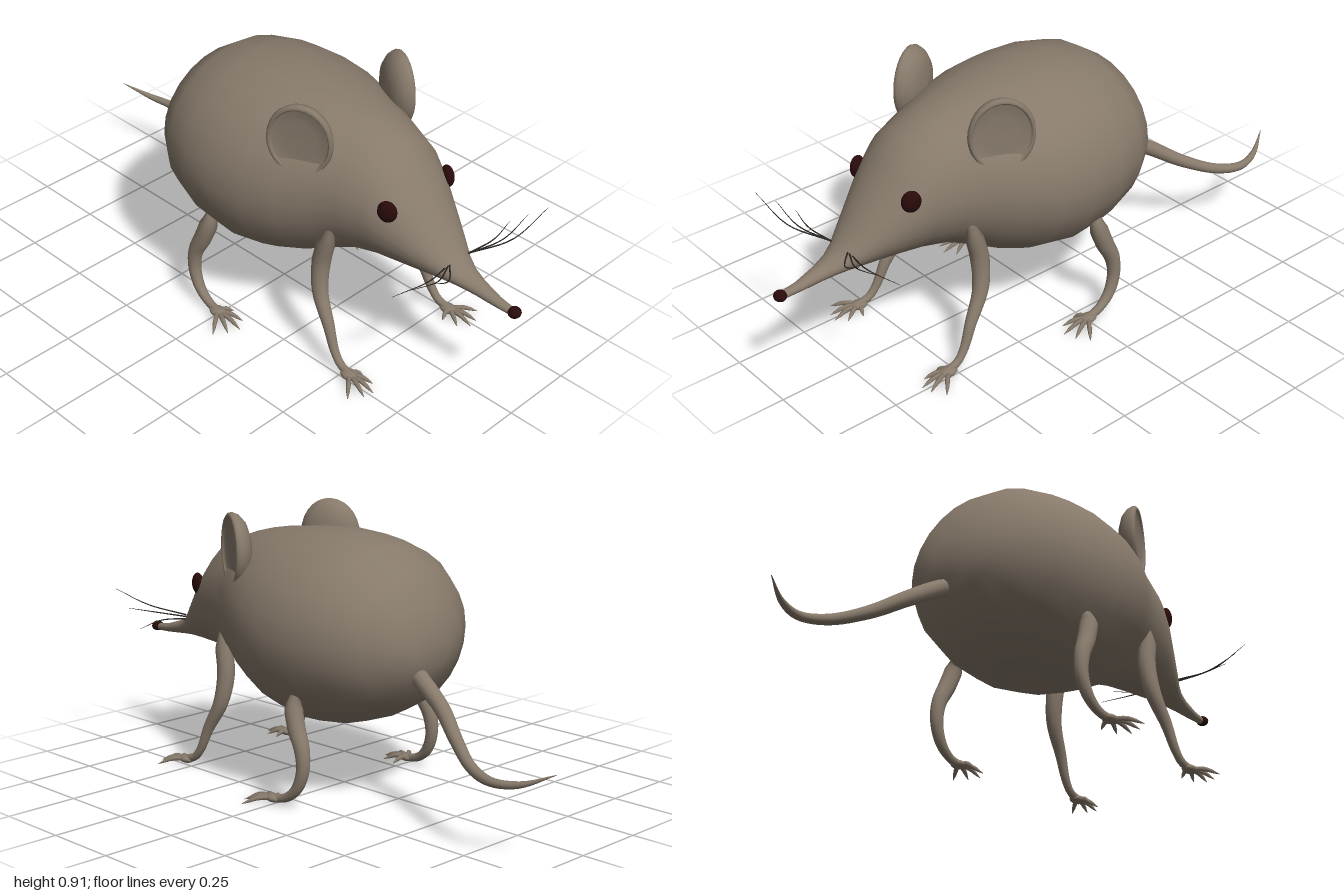
import * as THREE from 'three';
import { mergeVertices } from 'three/addons/utils/BufferGeometryUtils.js';

const V = (p) => new THREE.Vector3(...p);
const mat = (name, color) => {
  const m = new THREE.MeshStandardMaterial({ color });
  m.name = name;
  return m;
};

// Tube through points whose radius follows a list of values
function taperedTube(points, radii, segments, sides) {
  const curve = new THREE.CatmullRomCurve3(points.map(V));
  const geo = new THREE.TubeGeometry(curve, segments, 1, sides);
  const pos = geo.attributes.position;
  const v = new THREE.Vector3();
  for (let i = 0; i <= segments; i++) {
    const t = i / segments;
    const c = curve.getPointAt(t);
    const f = t * (radii.length - 1);
    const k = Math.min(Math.floor(f), radii.length - 2);
    const r = THREE.MathUtils.lerp(radii[k], radii[k + 1], f - k);
    for (let j = 0; j <= sides; j++) {
      const n = i * (sides + 1) + j;
      v.fromBufferAttribute(pos, n).sub(c).multiplyScalar(r).add(c);
      pos.setXYZ(n, v.x, v.y, v.z);
    }
  }
  return geo;
}

// Elliptical loft along x; each section is [x, top, bottom, half width]
function loftBody(sections, sides) {
  const geo = new THREE.CylinderGeometry(1, 1, 1, sides, sections.length - 1, true);
  const pos = geo.attributes.position;
  for (let n = 0; n < pos.count; n++) {
    const [x, top, bottom, w] = sections[Math.floor(n / (sides + 1))];
    const across = pos.getX(n), up = pos.getZ(n);
    pos.setXYZ(n, x, (top + bottom) / 2 + up * (top - bottom) / 2, across * w);
  }
  geo.deleteAttribute('uv');
  geo.deleteAttribute('normal');
  const merged = mergeVertices(geo);
  merged.computeVertexNormals();
  return merged;
}

export function createModel() {
  const fur = mat('fur', 0x877a6b);
  const dark = mat('eye and nose', 0x2a0a0a);
  const hair = mat('whisker', 0x2b2521);
  const model = new THREE.Group();
  model.name = 'mouse';

  const add = (name, geo, material, parent = model) => {
    const mesh = new THREE.Mesh(geo, material);
    mesh.name = name;
    parent.add(mesh);
    return mesh;
  };
  const ellipsoid = (name, material, p, r, parent) => {
    const mesh = add(name, new THREE.SphereGeometry(1, 18, 12), material, parent);
    mesh.position.set(...p);
    mesh.scale.set(...r);
    return mesh;
  };

  // Body, head and snout in one skin
  add('body', loftBody([
    [0.985, 0.385, 0.385, 0],
    [0.97, 0.396, 0.372, 0.013],
    [0.91, 0.406, 0.374, 0.019],
    [0.84, 0.428, 0.381, 0.03],
    [0.79, 0.448, 0.386, 0.044],
    [0.75, 0.478, 0.389, 0.062],
    [0.71, 0.528, 0.39, 0.085],
    [0.66, 0.592, 0.389, 0.112],
    [0.58, 0.695, 0.386, 0.154],
    [0.51, 0.77, 0.38, 0.182],
    [0.42, 0.807, 0.362, 0.21],
    [0.34, 0.828, 0.325, 0.245],
    [0.25, 0.845, 0.28, 0.297],
    [0.14, 0.858, 0.24, 0.34],
    [0.02, 0.865, 0.22, 0.358],
    [-0.1, 0.859, 0.235, 0.352],
    [-0.22, 0.832, 0.277, 0.316],
    [-0.31, 0.772, 0.33, 0.25],
    [-0.37, 0.67, 0.41, 0.16],
    [-0.392, 0.59, 0.465, 0.08],
    [-0.397, 0.53, 0.53, 0],
  ], 24), fur);

  // Tail, swinging to one side
  add('tail', taperedTube([
    [-0.33, 0.46, -0.03], [-0.39, 0.435, -0.048], [-0.5, 0.37, -0.075],
    [-0.61, 0.3, -0.13], [-0.72, 0.253, -0.187], [-0.82, 0.237, -0.212],
    [-0.91, 0.245, -0.19], [-1, 0.283, -0.14],
  ], [0.03, 0.028, 0.024, 0.02, 0.017, 0.012, 0.001], 40, 12), fur);

  ellipsoid('nose', dark, [0.977, 0.386, 0], [0.021, 0.018, 0.022]);

  // Ear: domed back, rolled rim and shallow bowl
  const earProfile = [[0, -0.055], [0.45, -0.05], [0.75, -0.037], [0.93, -0.018], [1, 0.002],
    [0.98, 0.013], [0.92, 0.018], [0.87, 0.014], [0.84, 0.006], [0.5, 0.004], [0, 0.003]]
    .map(([r, y]) => new THREE.Vector2(r, y));

  // Legs: path, palm centre and toe tips [x, z]
  const legs = [
    {
      name: 'frontLeg',
      path: [[0.395, 0.51, 0.185], [0.385, 0.45, 0.193], [0.366, 0.35, 0.2], [0.378, 0.25, 0.214],
        [0.43, 0.15, 0.227], [0.465, 0.07, 0.234], [0.495, 0.034, 0.237], [0.54, 0.022, 0.24]],
      radii: [0.008, 0.03, 0.031, 0.028, 0.023, 0.018, 0.014, 0.013],
      palm: [0.535, 0.02, 0.24],
      toes: [[0.6, 0.315], [0.63, 0.272], [0.637, 0.237], [0.605, 0.205], [0.55, 0.195]],
    },
    {
      name: 'hindLeg',
      path: [[-0.062, 0.385, 0.265], [-0.058, 0.34, 0.285], [-0.08, 0.27, 0.296], [-0.112, 0.2, 0.302],
        [-0.117, 0.13, 0.305], [-0.09, 0.065, 0.309], [-0.04, 0.028, 0.313], [0.015, 0.02, 0.317]],
      radii: [0.012, 0.031, 0.03, 0.026, 0.022, 0.019, 0.015, 0.013],
      palm: [0.005, 0.02, 0.317],
      toes: [[0.07, 0.4], [0.1, 0.36], [0.113, 0.318], [0.085, 0.28], [0.025, 0.265]],
    },
  ];

  // Whisker tips
  const whiskerTips = [[0.87, 0.58, 0.272], [0.8, 0.52, 0.272], [0.73, 0.457, 0.275]];

  for (const [side, s] of [['left', -1], ['right', 1]]) {
    const flip = ([x, y, z]) => [x, y, z * s];

    const ear = new THREE.Group();
    ear.name = side + 'Ear';
    const bowl = add('earShell', new THREE.LatheGeometry(earProfile, 28), fur, ear);
    bowl.rotation.x = Math.PI / 2;
    bowl.scale.set(0.107, 1, 0.125);
    ear.position.set(0.292, 0.785, 0.222 * s);
    ear.rotation.y = s > 0 ? 0.47 : Math.PI - 0.47;
    model.add(ear);

    const eye = ellipsoid(side + 'Eye', dark, [0.578, 0.621, 0.138 * s], [0.032, 0.037, 0.019]);
    eye.rotation.y = 0.4 * s;

    whiskerTips.forEach(([x, y, z], i) => {
      const root = [0.75 + 0.006 * (1 - i), 0.467 - 0.006 * i, 0.045];
      const bend = [(root[0] + x) / 2 + 0.025, (root[1] + y) / 2 - 0.008 * (2 - i) + 0.004 * i, 0.15];
      add(side + 'Whisker', taperedTube([root, bend, [x, y, z]].map(flip),
        [0.0028, 0.002, 0.0006], 12, 5), hair);
    });

    for (const { name, path, radii, palm, toes } of legs) {
      const leg = new THREE.Group();
      leg.name = side + name[0].toUpperCase() + name.slice(1);
      add('limb', taperedTube(path.map(flip), radii, 28, 12), fur, leg);
      ellipsoid('palm', fur, flip(palm), [0.032, 0.014, 0.024], leg);
      for (const [x, z] of toes) {
        const knuckle = [palm[0] + (x - palm[0]) * 0.5, 0.021, palm[2] + (z - palm[2]) * 0.5];
        add('toe', taperedTube([palm, knuckle, [x, 0.003, z]].map(flip),
          [0.009, 0.008, 0.008, 0.006, 0.001], 8, 7), fur, leg);
      }
      model.add(leg);
    }
  }
  return model;
}
